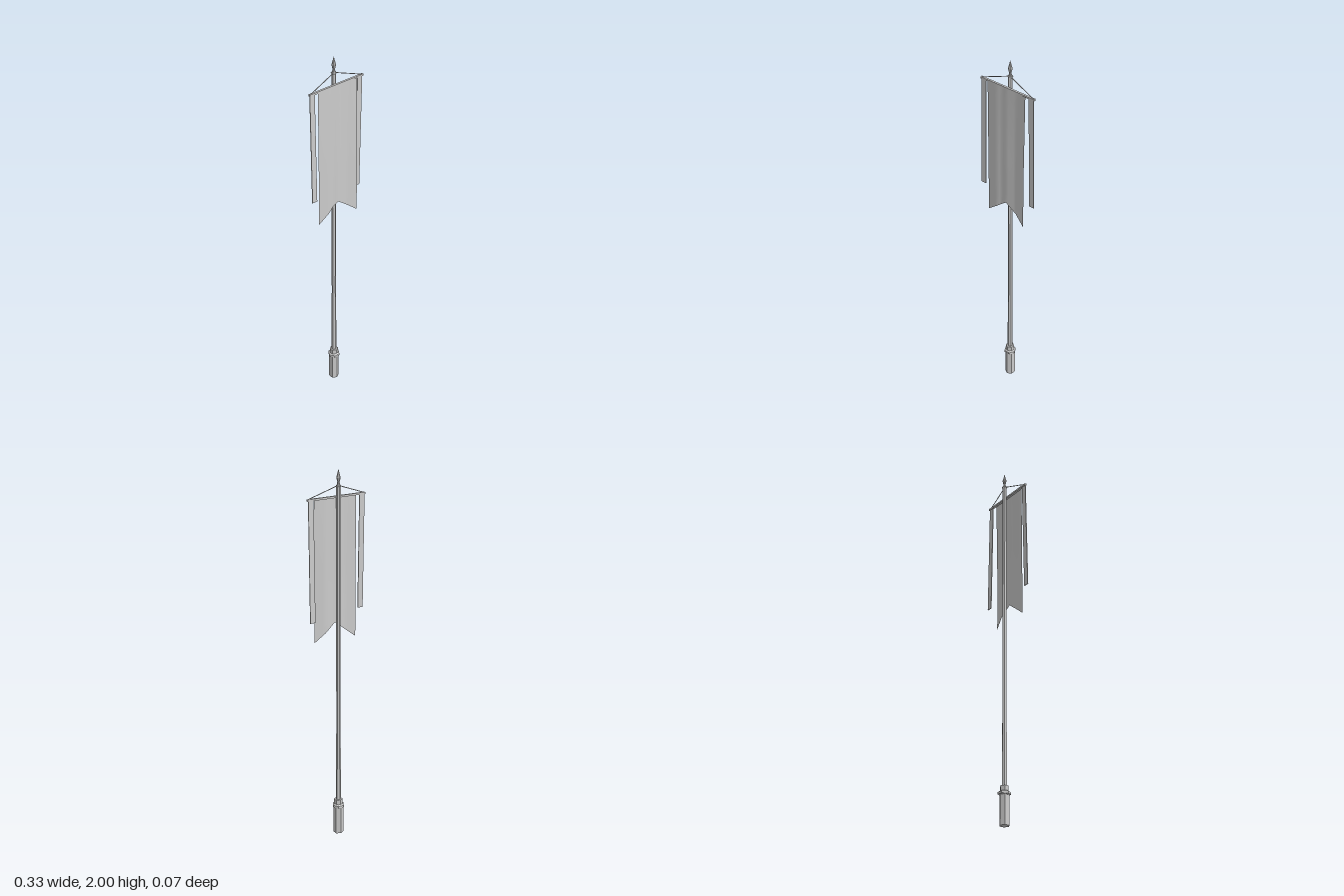
import * as THREE from 'three';

const POLE_Z = -0.007;

export function createModel() {
  const root = new THREE.Group();
  const solid = new THREE.MeshStandardMaterial({ color: 0xcccccc, flatShading: true });
  const cloth = new THREE.MeshStandardMaterial({ color: 0xcccccc, side: THREE.DoubleSide });

  const add = (name, geometry, material = solid) => {
    const mesh = new THREE.Mesh(geometry, material);
    mesh.name = name;
    root.add(mesh);
    return mesh;
  };

  // Turned part standing on the pole axis, profile given as [radius, y]
  const turned = (name, profile, sides, spin = 0) => {
    const points = profile.map(([r, y]) => new THREE.Vector2(r, y));
    const mesh = add(name, new THREE.LatheGeometry(points, sides));
    mesh.position.z = POLE_Z;
    mesh.rotation.y = spin;
    return mesh;
  };

  // Shaft, hexagonal grip with collar, and spear tip
  turned('pole', [[0, 0.18], [0.014, 0.18], [0.0135, 0.37], [0.0115, 0.6], [0.0115, 1.92], [0, 1.92]], 6);
  turned('grip', [[0, 0], [0.027, 0], [0.027, 0.155], [0.023, 0.172], [0.023, 0.2], [0, 0.2]], 6);
  turned('gripCollar', [[0.024, 0.152], [0.033, 0.157], [0.033, 0.168], [0.024, 0.174]], 6, Math.PI / 6);
  turned('spearTip', [[0, 1.915], [0.008, 1.918], [0.006, 1.935], [0.011, 1.957], [0, 2]], 8);

  // Crossbar in front of the pole
  add('crossbar', new THREE.BoxGeometry(0.334, 0.01, 0.011)).position.set(0, 1.858, 0.0125);

  // Cord from the bar ends to a loop round the pole
  for (const side of [-1, 1]) {
    const line = new THREE.LineCurve3(
      new THREE.Vector3(side * 0.16, 1.862, 0.014),
      new THREE.Vector3(side * 0.01, 1.914, -0.003));
    add(side < 0 ? 'rightCord' : 'leftCord', new THREE.TubeGeometry(line, 1, 0.0022, 5));
  }
  const loop = add('cordLoop', new THREE.TorusGeometry(0.0125, 0.0022, 5, 8));
  loop.rotation.x = Math.PI / 2;
  loop.position.set(0, 1.914, POLE_Z);

  // Hanging banner: swallow-tailed lower edge, shallow folds across its width
  const folds = [[-0.115, 0.021], [-0.06, 0.027], [-0.03, 0.022], [0, 0.027], [0.06, 0.02], [0.12, 0.033]];
  const foldAt = (x) => {
    const i = Math.max(1, folds.findIndex(([fx]) => fx >= x - 1e-6));
    const [x0, z0] = folds[i - 1], [x1, z1] = folds[i];
    return THREE.MathUtils.lerp(z0, z1, (x - x0) / (x1 - x0));
  };
  const banner = new THREE.PlaneGeometry(0.24, 1, 16, 12);
  const p = banner.attributes.position;
  for (let i = 0; i < p.count; i++) {
    const x = p.getX(i), down = 0.5 - p.getY(i);
    const bottom = 1.2 - 0.095 * Math.abs(x) / 0.12;
    const hang = Math.min(1, 0.45 + down * 0.9);
    p.setXYZ(i, x, THREE.MathUtils.lerp(1.862, bottom, down),
      THREE.MathUtils.lerp(0.0185, foldAt(x), hang));
  }
  banner.computeVertexNormals();
  add('banner', banner, cloth);

  // Side ribbons, drifting slightly out of line with the bar
  const ribbon = (name, x, bottom, endZ) => {
    const height = 1.858 - bottom;
    const geometry = new THREE.BoxGeometry(0.03, height, 0.004, 1, 6, 1);
    const pos = geometry.attributes.position;
    for (let i = 0; i < pos.count; i++) {
      const down = 0.5 - pos.getY(i) / height;
      pos.setZ(i, pos.getZ(i) + THREE.MathUtils.lerp(0.0125, endZ, down));
    }
    geometry.translate(x, bottom + height / 2, 0);
    geometry.computeVertexNormals();
    add(name, geometry);
  };
  ribbon('rightRibbon', -0.15, 1.257, 0.023);
  ribbon('leftRibbon', 0.147, 1.227, 0.002);

  return root;
}
